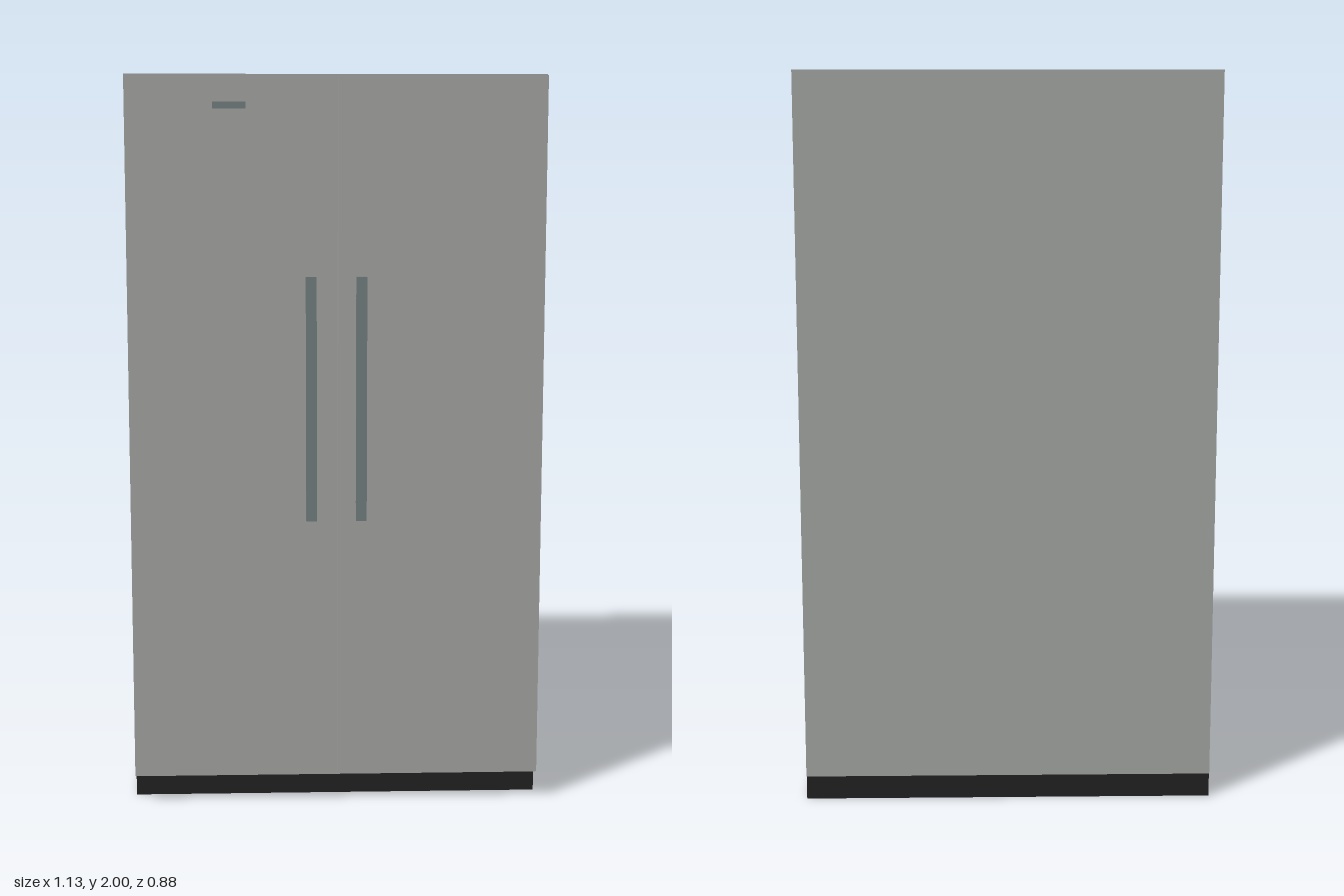
import * as THREE from 'three';

const steel = new THREE.MeshStandardMaterial({ name: 'brushed steel', color: 0xa6a8a4 });
const trim = new THREE.MeshStandardMaterial({ name: 'dark trim', color: 0x758080 });
const black = new THREE.MeshStandardMaterial({ name: 'black plinth', color: 0x222222, side: THREE.DoubleSide });

// Box given by its lower and upper limits on each axis
function block(name, [x0, x1], [y0, y1], [z0, z1], material) {
  const mesh = new THREE.Mesh(new THREE.BoxGeometry(x1 - x0, y1 - y0, z1 - z0), material);
  mesh.position.set((x0 + x1) / 2, (y0 + y1) / 2, (z0 + z1) / 2);
  mesh.name = name;
  return mesh;
}

// Slim bar on two round mounts
function handle(name, x) {
  const group = new THREE.Group();
  group.name = name;
  group.add(block('handleBar', [x - 0.0145, x + 0.0145], [0.805, 1.467], [0.426, 0.44], trim));
  for (const y of [0.853, 1.415]) {
    const mount = new THREE.Mesh(new THREE.CylinderGeometry(0.0145, 0.0145, 0.016, 24), trim);
    mount.rotation.x = Math.PI / 2;
    mount.position.set(x, y, 0.419);
    mount.name = 'handleMount';
    group.add(mount);
  }
  return group;
}

// Plinth: four walls, open underneath so the cabinet floor shows
function plinth() {
  const w = 0.562, back = -0.44, front = 0.342, h = 0.065;
  const group = new THREE.Group();
  group.name = 'plinth';
  const wall = (length, x, z, turn) => {
    const mesh = new THREE.Mesh(new THREE.PlaneGeometry(length, h), black);
    mesh.position.set(x, h / 2, z);
    mesh.rotation.y = turn;
    mesh.name = 'plinthWall';
    group.add(mesh);
  };
  wall(2 * w, 0, front, 0);
  wall(2 * w, 0, back, Math.PI);
  for (const s of [-1, 1]) wall(front - back, s * w, (front + back) / 2, s * Math.PI / 2);
  return group;
}

export function createModel() {
  const model = new THREE.Group();
  model.name = 'refrigerator';
  model.add(
    block('cabinet', [-0.563, 0.563], [0.065, 2], [-0.44, 0.373], steel),
    block('rightDoor', [-0.56, -0.008], [0.08, 1.996], [0.373, 0.412], steel),
    block('leftDoor', [0.004, 0.56], [0.08, 1.996], [0.373, 0.412], steel),
    block('badgePlate', [-0.328, -0.24], [1.908, 1.927], [0.412, 0.417], trim),
    handle('rightHandle', -0.069),
    handle('leftHandle', 0.066),
    plinth()
  );
  return model;
}
